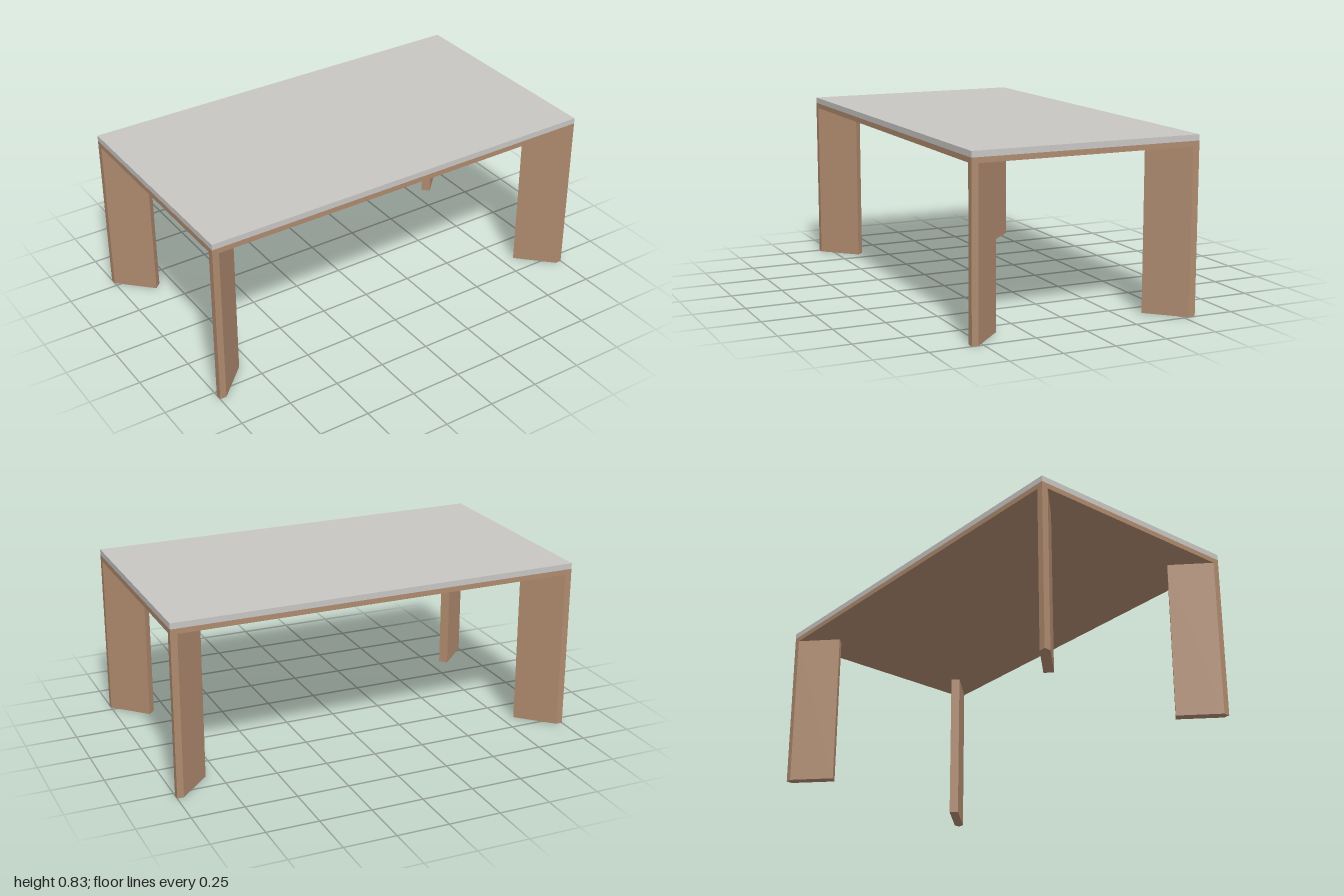
import * as THREE from 'three';

export function createModel() {
  const W = 1, D = 0.555;              // half width and half depth
  const TRAY = 0.782, SLAB = 0.807, TOP = 0.835;
  const wood = new THREE.MeshStandardMaterial({ name: 'wood', color: 0xae8a6e });
  const stone = new THREE.MeshStandardMaterial({ name: 'greyStone', color: 0xc8c6c3 });

  const group = new THREE.Group();
  group.name = 'table';
  const add = (name, geometry, material) => {
    const mesh = new THREE.Mesh(geometry, material);
    mesh.name = name;
    group.add(mesh);
    return mesh;
  };

  // Stone top on a thin wooden panel
  const panel = (name, y0, y1, material) => {
    add(name, new THREE.BoxGeometry(2 * W, y1 - y0, 2 * D), material).position.y = (y0 + y1) / 2;
  };
  panel('tableTop', SLAB, TOP, stone);
  panel('underPanel', TRAY, SLAB, wood);

  // Diagonal plank legs: square outer corner, inner end cut across the plank
  const T = 0.032, R = 0.187;          // corner edge and total reach inwards
  const outline = [[0, 0], [T, 0], [R, R - T], [R - T, R], [0, T]];
  for (const sx of [1, -1]) {
    for (const sz of [1, -1]) {
      // shape y becomes -z when the extrusion is stood upright
      const shape = new THREE.Shape(
        outline.map(([a, b]) => new THREE.Vector2(sx * (W - a), -sz * (D - b)))
      );
      const geometry = new THREE.ExtrudeGeometry(shape, { depth: TRAY, bevelEnabled: false });
      geometry.rotateX(-Math.PI / 2);
      add(`${sz > 0 ? 'front' : 'back'}${sx > 0 ? 'Left' : 'Right'}Leg`, geometry, wood);
    }
  }
  return group;
}
